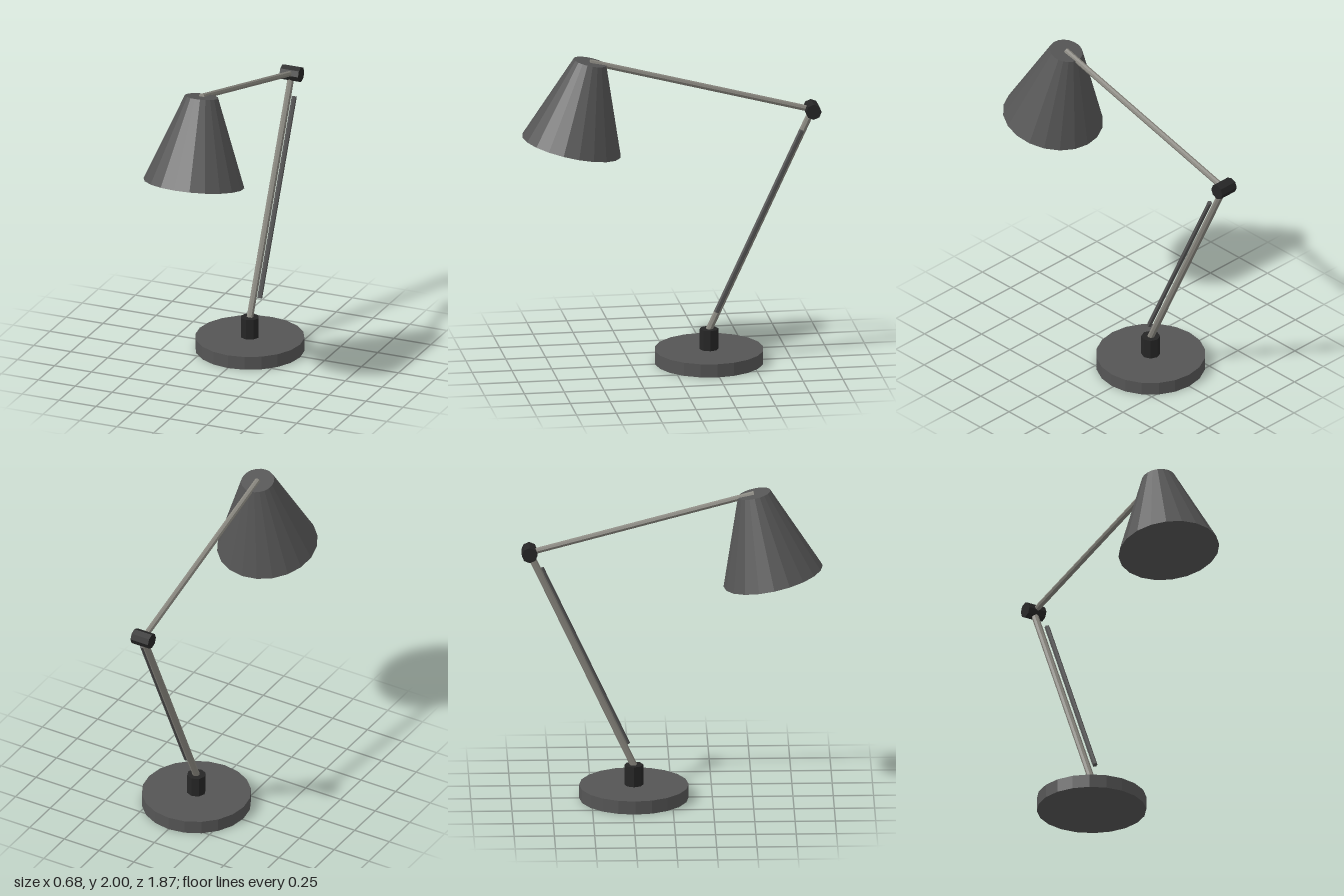
import * as THREE from 'three';

const paint = (color) => new THREE.MeshStandardMaterial({ color, flatShading: true });

export function createModel() {
  const lamp = new THREE.Group();
  const enamel = paint(0x555555);
  const steel = paint(0x88867e);
  const black = paint(0x262626);
  const UP = new THREE.Vector3(0, 1, 0);

  // Cylinder or cone running from point a (radius ra) to point b (radius rb)
  function rod(name, a, b, ra, rb, sides, material) {
    const from = new THREE.Vector3(...a);
    const dir = new THREE.Vector3(...b).sub(from);
    const mesh = new THREE.Mesh(new THREE.CylinderGeometry(rb, ra, dir.length(), sides), material);
    mesh.name = name;
    mesh.position.copy(from).addScaledVector(dir, 0.5);
    mesh.quaternion.setFromUnitVectors(UP, dir.normalize());
    lamp.add(mesh);
  }

  const footZ = -0.237;
  const elbow = [0, 1.605, -0.885];
  const head = [0, 1.977, 0.51];

  // Foot and its socket
  rod('base', [0, 0, footZ], [0, 0.085, footZ], 0.34, 0.34, 20, enamel);
  rod('socket', [0, 0.085, footZ], [0, 0.215, footZ], 0.059, 0.059, 8, black);

  // Arms and the elbow joint
  rod('lowerArm', [0, 0.21, footZ], elbow, 0.022, 0.022, 8, steel);
  rod('upperArm', elbow, head, 0.019, 0.019, 8, steel);
  rod('elbowJoint', [-0.063, elbow[1], elbow[2]], [0.063, elbow[1], elbow[2]], 0.049, 0.049, 8, black);

  // Tension rod beside the lower arm
  rod('tensionRod', [0.05, 0.335, -0.274], [0.05, 1.487, -0.81], 0.016, 0.016, 6, enamel);

  // Tilted conical shade
  rod('shade', [0, 1.44, 0.627], head, 0.315, 0.104, 20, enamel);

  return lamp;
}
